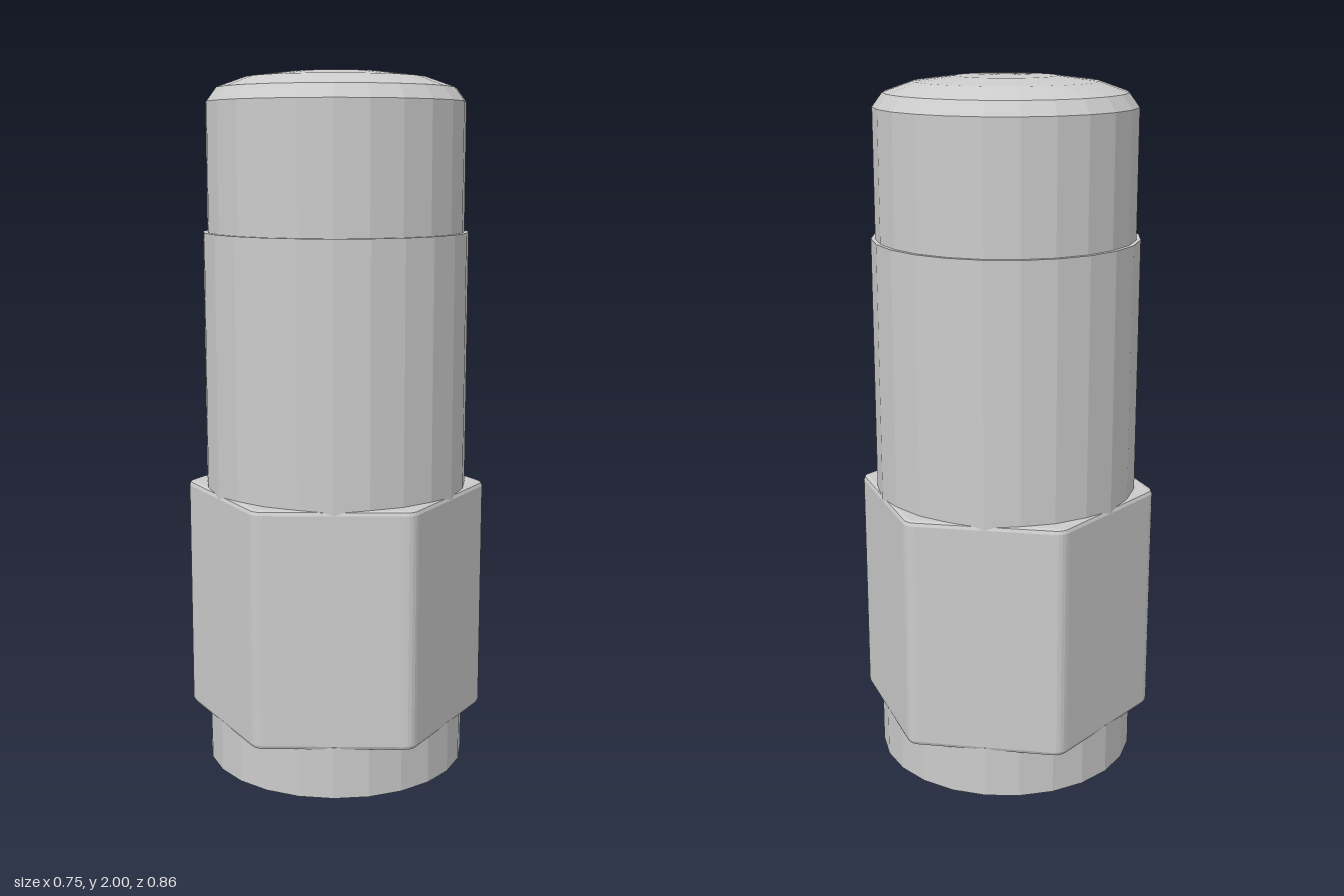
import * as THREE from 'three';

const SIDES = 24;
const grey = new THREE.MeshStandardMaterial({ color: 0xcccccc, flatShading: true });
const black = new THREE.MeshStandardMaterial({ color: 0x111111, flatShading: true });

function addMesh(group, name, geometry, material = grey) {
  const mesh = new THREE.Mesh(geometry, material);
  mesh.name = name;
  group.add(mesh);
  return mesh;
}

// Closed drum between two heights
function drum(radius, bottom, top) {
  return new THREE.CylinderGeometry(radius, radius, top - bottom, SIDES)
    .translate(0, (bottom + top) / 2, 0);
}

// Hexagonal prism with softened corners and bevelled rims, flats facing x
function hexNut(apothem, bottom, top, bevel) {
  const radius = apothem / Math.cos(Math.PI / 6);
  const corners = Array.from({ length: 6 }, (_, i) => {
    const a = Math.PI / 6 + i * Math.PI / 3;
    return new THREE.Vector2(Math.cos(a) * radius, Math.sin(a) * radius);
  });
  const shape = new THREE.Shape();
  const cut = 0.025 / radius;
  corners.forEach((c, i) => {
    const a = c.clone().lerp(corners[(i + 5) % 6], cut);
    const b = c.clone().lerp(corners[(i + 1) % 6], cut);
    if (i === 0) shape.moveTo(a.x, a.y);
    else shape.lineTo(a.x, a.y);
    shape.quadraticCurveTo(c.x, c.y, b.x, b.y);
  });
  shape.closePath();
  return new THREE.ExtrudeGeometry(shape, {
    depth: top - bottom - 2 * bevel,
    bevelThickness: bevel, bevelSize: bevel, bevelOffset: -bevel,
    bevelSegments: 2, curveSegments: 4,
  }).rotateX(-Math.PI / 2).translate(0, bottom + bevel, 0);
}

export function createModel() {
  const model = new THREE.Group();
  model.name = 'hexCap';

  // Dark bore face, just proud of the collar
  addMesh(model, 'boreFace', drum(0.32, 0, 0.03), black);

  // Collar, hexagonal grip and barrel
  addMesh(model, 'collar', drum(0.377, 0.01, 0.16));
  addMesh(model, 'hexGrip', hexNut(0.377, 0.15, 0.832, 0.013));
  addMesh(model, 'barrel', drum(0.377, 0.8, 1.557));

  // Narrower upper barrel closed by a shallow dome
  const profile = [
    [0.365, 1.54], [0.365, 1.915], [0.337, 1.953],
    [0.255, 1.982], [0.14, 1.996], [0, 2],
  ].map(([r, y]) => new THREE.Vector2(r, y));
  addMesh(model, 'domedCap', new THREE.LatheGeometry(profile, SIDES));

  return model;
}
